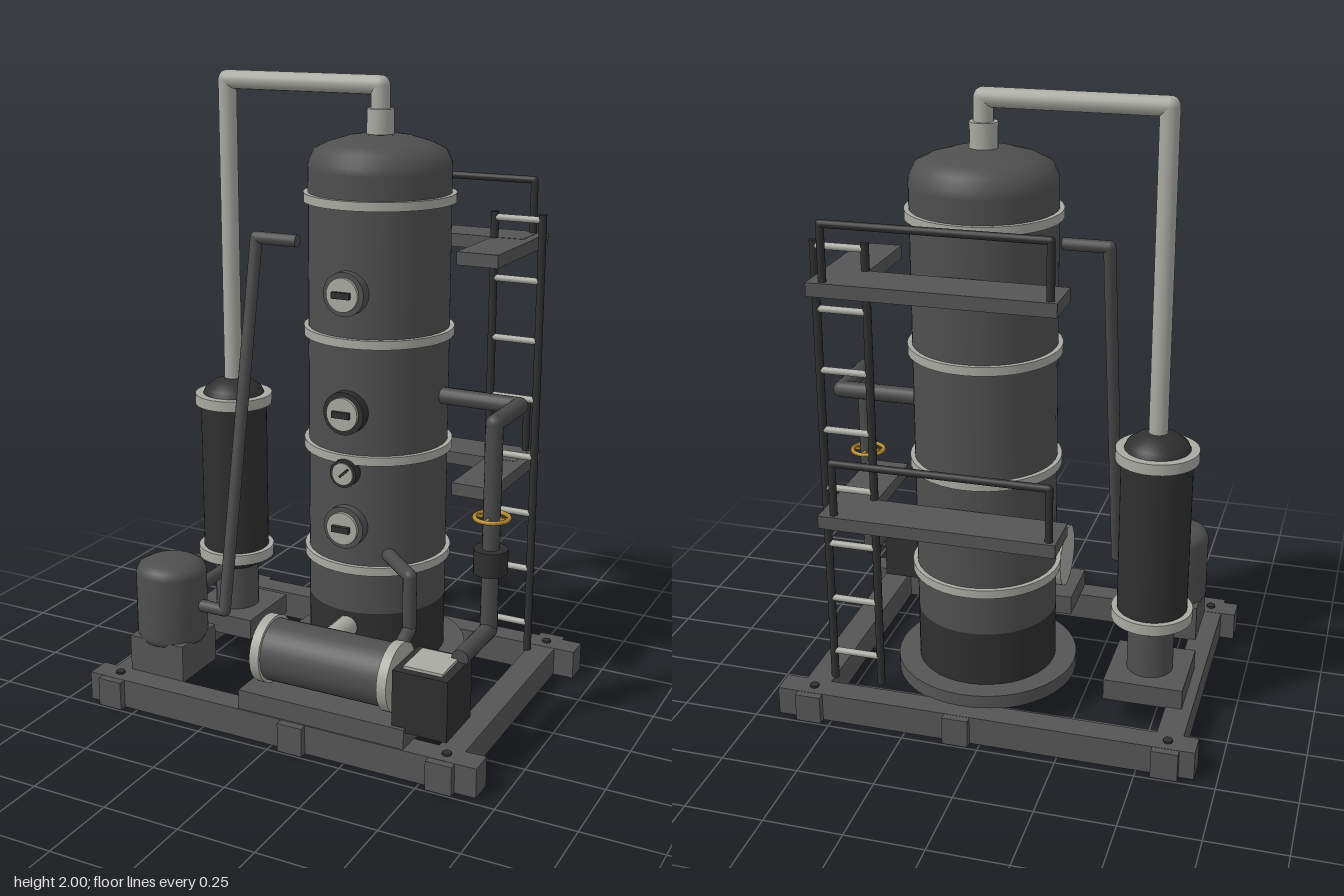
import * as THREE from 'three';

const mat = (name, color) => Object.assign(new THREE.MeshStandardMaterial({ color }), { name });

export function createModel() {
  const root = new THREE.Group();
  root.name = 'distillationSkid';
  const frame = mat('frame grey', 0x555555);
  const steel = mat('vessel grey', 0x4f4f4f);
  const pipeGrey = mat('pipe grey', 0x4a4a4a);
  const dark = mat('dark grey', 0x2f2f2f);
  const light = mat('light metal', 0xa9aaa3);
  const brass = mat('brass', 0xb5892e);

  const add = (name, geo, material, x = 0, y = 0, z = 0, parent = root) => {
    const m = new THREE.Mesh(geo, material);
    m.name = name;
    m.position.set(x, y, z);
    parent.add(m);
    return m;
  };
  // Box given by its limits on each axis
  const box = (name, material, x0, x1, y0, y1, z0, z1) =>
    add(name, new THREE.BoxGeometry(x1 - x0, y1 - y0, z1 - z0), material,
      (x0 + x1) / 2, (y0 + y1) / 2, (z0 + z1) / 2);
  // Upright cylinder from y0 to y1
  const cyl = (name, material, r, x, z, y0, y1, seg = 40) =>
    add(name, new THREE.CylinderGeometry(r, r, y1 - y0, seg), material, x, (y0 + y1) / 2, z);
  const lathe = (name, material, pts, x, z) =>
    add(name, new THREE.LatheGeometry(pts.map(p => new THREE.Vector2(...p)), 40), material, x, 0, z);
  // Straight pipe runs with round joints at the bends
  const pipe = (name, material, r, pts) => {
    const g = new THREE.Group();
    g.name = name;
    root.add(g);
    const v = pts.map(p => new THREE.Vector3(...p));
    for (let i = 0; i < v.length - 1; i++) {
      const d = v[i + 1].clone().sub(v[i]);
      const mid = v[i].clone().add(v[i + 1]).multiplyScalar(0.5);
      const m = add(name + 'Run', new THREE.CylinderGeometry(r, r, d.length(), 16), material, mid.x, mid.y, mid.z, g);
      m.quaternion.setFromUnitVectors(new THREE.Vector3(0, 1, 0), d.normalize());
      if (i > 0) add(name + 'Elbow', new THREE.SphereGeometry(r, 16, 10), material, v[i].x, v[i].y, v[i].z, g);
    }
    return g;
  };

  // Base frame
  for (const s of [-1, 1]) box('longBeam', frame, -0.68, 0.68, 0, 0.095, s * 0.43 - 0.04, s * 0.43 + 0.04);
  for (const x of [-0.59, 0.075, 0.57]) box('crossBeam', frame, x - 0.042, x + 0.042, 0, 0.094, -0.494, 0.494);
  for (const x of [-0.59, 0.57]) for (const z of [-0.43, 0.43]) cyl('anchorBolt', dark, 0.015, x, z, 0.09, 0.102, 12);

  // Main column
  const cx = 0.075, cz = -0.12;
  cyl('columnFoot', frame, 0.294, cx, cz, 0.09, 0.137);
  cyl('columnSkirt', dark, 0.225, cx, cz, 0.137, 0.32);
  cyl('columnShell', steel, 0.225, cx, cz, 0.32, 1.72);
  lathe('columnDome', steel, [[0.225, 1.72], [0.224, 1.74], [0.207, 1.777], [0.165, 1.798], [0.1, 1.817], [0.06, 1.823], [0, 1.824]], cx, cz);
  for (const y of [0.47, 0.838, 1.21, 1.632]) cyl('columnBand', light, 0.24, cx, cz, y - 0.014, y + 0.014);

  // Vapour line over to the condenser
  cyl('topNozzle', light, 0.043, cx, cz, 1.81, 1.9, 20);
  pipe('vapourLine', light, 0.03, [[cx, 1.88, cz], [cx, 1.97, cz], [-0.472, 1.97, cz], [-0.472, 0.96, cz]]);

  // Front fittings on the column
  const disc = (name, material, r, y, z0, z1) => {
    const m = add(name, new THREE.CylinderGeometry(r, r, z1 - z0, 28), material, cx, y, (z0 + z1) / 2);
    m.rotation.x = Math.PI / 2;
  };
  for (const [y, rim] of [[1.365, steel], [0.99, dark], [0.615, steel]]) {
    disc('manholeRim', rim, 0.069, y, 0.08, 0.132);
    disc('manholeCover', light, 0.053, y, 0.13, 0.143);
    box('manholeHandle', dark, cx - 0.03, cx + 0.03, y - 0.01, y + 0.01, 0.14, 0.156);
  }
  disc('dialRim', dark, 0.045, 0.795, 0.08, 0.135);
  disc('dialFace', light, 0.036, 0.795, 0.133, 0.139);
  add('dialNeedle', new THREE.BoxGeometry(0.04, 0.008, 0.005), dark, cx + 0.006, 0.8, 0.141).rotation.z = 0.75;

  // Condenser
  const tx = -0.472;
  box('condenserPlinth', frame, -0.6, -0.345, 0.09, 0.16, -0.245, 0.01);
  cyl('condenserLeg', steel, 0.075, tx, cz, 0.16, 0.32, 24);
  lathe('condenserBottom', dark, [[0, 0.29], [0.06, 0.3], [0.1, 0.33], [0.112, 0.36]], tx, cz);
  cyl('condenserShell', dark, 0.112, tx, cz, 0.36, 0.91);
  for (const y of [0.362, 0.91]) cyl('condenserFlange', light, 0.13, tx, cz, y - 0.018, y + 0.018);
  lathe('condenserDome', dark, [[0.104, 0.925], [0.095, 0.946], [0.066, 0.968], [0.035, 0.98], [0, 0.983]], tx, cz);

  // Reflux drum
  const dz = 0.29;
  box('drumPlinth', frame, -0.573, -0.373, 0.09, 0.215, dz - 0.1, dz + 0.1);
  lathe('refluxDrum', steel, [[0, 0.188], [0.08, 0.19], [0.105, 0.2], [0.115, 0.222], [0.115, 0.43],
    [0.105, 0.452], [0.08, 0.464], [0.045, 0.47], [0, 0.471]], tx, dz);
  pipe('condensateLine', pipeGrey, 0.022, [[tx, 0.31, cz], [tx, 0.31, dz]]);
  pipe('refluxLine', pipeGrey, 0.02, [[-0.4, 0.325, dz], [-0.272, 0.325, dz], [-0.272, 1.5, 0.052], [-0.125, 1.5, 0.052]]);

  // Reboiler
  const by = 0.267, bz = 0.355;
  box('reboilerSaddle', frame, -0.12, 0.445, 0.09, 0.158, 0.25, 0.465);
  const across = (name, material, r, x0, x1) => {
    const m = add(name, new THREE.CylinderGeometry(r, r, x1 - x0, 36), material, (x0 + x1) / 2, by, bz);
    m.rotation.z = Math.PI / 2;
  };
  across('reboilerShell', steel, 0.098, -0.06, 0.37);
  for (const x of [-0.08, 0.353]) across('reboilerFlange', light, 0.108, x, x + 0.032);
  pipe('reboilerFeed', light, 0.036, [[cx, by, 0.07], [cx, by, 0.28]]);
  pipe('reboilerReturn', pipeGrey, 0.022, [[0.2, 0.522, 0.06], [0.335, 0.522, 0.19], [0.335, 0.345, 0.19], [0.335, 0.3, 0.29]]);

  // Product line with valve
  const px = 0.557, pz = 0.087;
  pipe('productLine', pipeGrey, 0.027, [[0.27, 1.015, cz], [px, 1.015, cz], [px, 1.015, pz], [px, 0.35, pz], [px, 0.35, 0.315]]);
  cyl('valveBody', dark, 0.053, px, pz, 0.54, 0.618, 20);
  const wheel = new THREE.Group();
  wheel.name = 'handwheel';
  wheel.position.set(px, 0.718, pz);
  root.add(wheel);
  add('wheelRim', new THREE.TorusGeometry(0.053, 0.007, 8, 28), brass, 0, 0, 0, wheel).rotation.x = Math.PI / 2;
  for (const a of [0, Math.PI / 2])
    add('wheelSpoke', new THREE.BoxGeometry(0.106, 0.009, 0.009), brass, 0, 0, 0, wheel).rotation.y = a;

  // Control box
  box('controlBox', dark, 0.4, 0.577, 0.143, 0.337, 0.268, 0.452);
  box('controlPanel', light, 0.425, 0.55, 0.337, 0.346, 0.29, 0.428);

  // Platforms with handrails
  for (const y of [0.71, 1.448]) {
    box('rearPlatform', frame, -0.247, 0.465, y, y + 0.042, -0.505, -0.35);
    box('sidePlatform', frame, 0.36, 0.495, y, y + 0.041, -0.504, -0.063);
    pipe('handrail', dark, 0.012, [[-0.223, y + 0.03, -0.483], [-0.223, y + 0.212, -0.483],
      [0.45, y + 0.212, -0.483], [0.45, y + 0.03, -0.483]]);
  }

  // Ladder
  for (const x of [0.37, 0.53]) cyl('ladderRail', dark, 0.013, x, -0.348, 0.09, 1.573, 12);
  for (let i = 0; i < 8; i++) {
    const y = 0.19 + i * 0.195;
    pipe('ladderRung', light, 0.011, [[0.372, y, -0.348], [0.528, y, -0.348]]);
  }
  return root;
}
